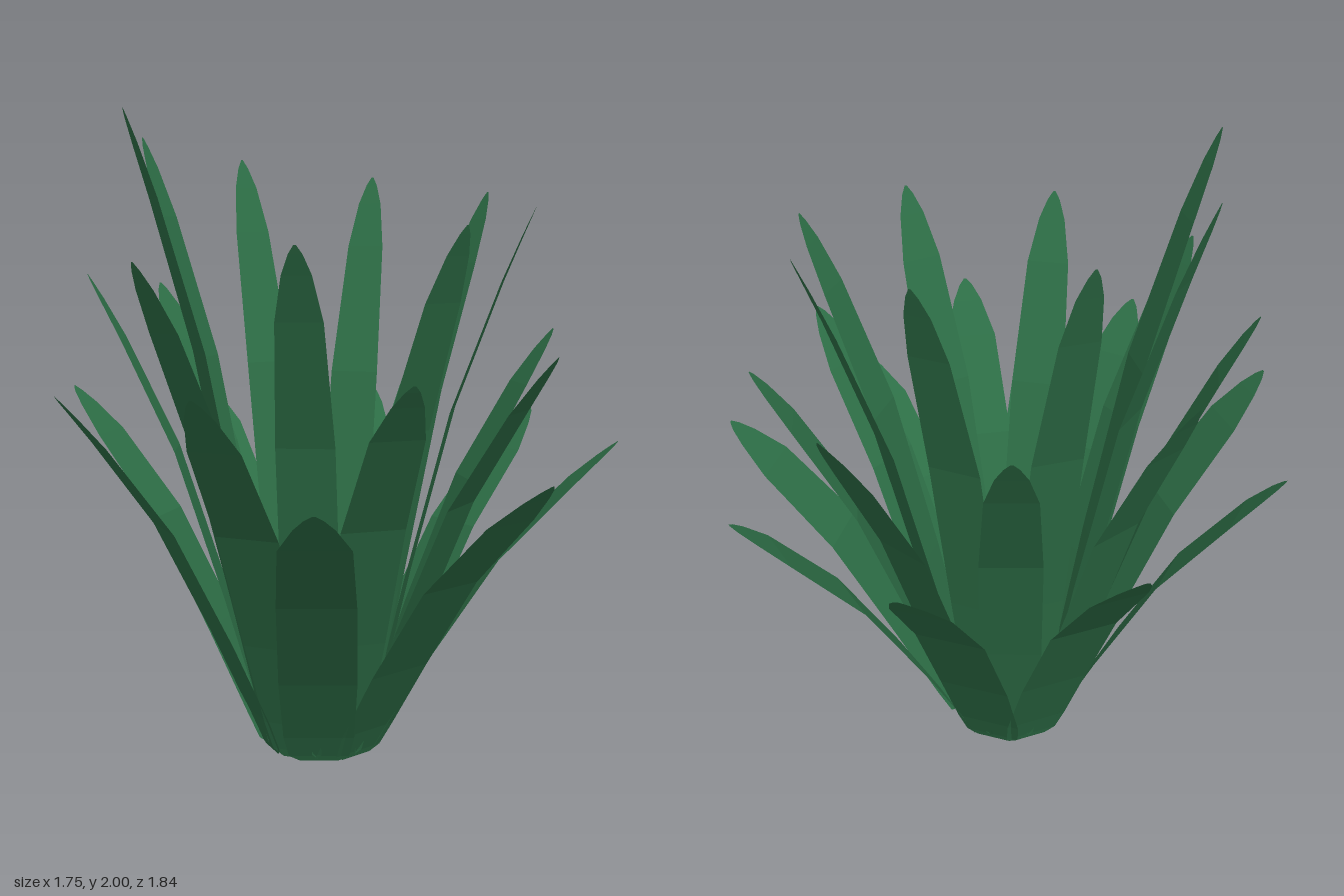
import * as THREE from 'three';

const LEAVES = 25;
const CENTRE = [-0.05, -0.042];

// Leaf stations from root to tip:
// share of height, share of outward reach, share of the widest width
const STATIONS = [
  [0, 0, 0.5],
  [0.02, 0.012, 0.8],
  [0.1, 0.068, 0.93],
  [0.33, 0.25, 1],
  [0.64, 0.52, 0.97],
  [0.87, 0.81, 0.76],
  [0.95, 0.925, 0.47],
  [0.985, 0.978, 0.22],
  [1, 1, 0.04],
];

// A thin arching blade that leans out along +x
function bladeGeometry(height, rootRadius, tipRadius, width, shoulder) {
  const positions = [];
  const index = [];
  STATIONS.forEach(([h, r, w], i) => {
    const share = i === 5 ? shoulder : w;
    const x = THREE.MathUtils.lerp(rootRadius, tipRadius, r);
    const half = (width * share) / 2;
    positions.push(x, h * height, -half, x, h * height, half);
    if (i > 0) {
      const a = 2 * (i - 1);
      index.push(a, a + 2, a + 1, a + 1, a + 2, a + 3);
    }
  });
  const geometry = new THREE.BufferGeometry();
  geometry.setAttribute('position', new THREE.Float32BufferAttribute(positions, 3));
  geometry.setIndex(index);
  const faceted = geometry.toNonIndexed();
  faceted.computeVertexNormals();
  return faceted;
}

export function createModel() {
  const plant = new THREE.Group();
  plant.name = 'rosettePlant';

  const leafGreen = new THREE.MeshStandardMaterial({ color: 0x2d6e46, side: THREE.DoubleSide });
  leafGreen.name = 'leaf green';

  // Leaves spiral from tall upright inner ones to short spreading outer ones
  const rosette = new THREE.Group();
  rosette.name = 'rosette';
  rosette.position.set(CENTRE[0], 0, CENTRE[1]);
  for (let i = 0; i < LEAVES; i++) {
    const t = i / (LEAVES - 1);
    const height = 2 - 0.0603 * i + 0.00068 * i * i;
    const tipRadius = 0.605 + 0.0107 * i + 0.00018 * i * i;
    const rootRadius = THREE.MathUtils.lerp(0.15, 0.175, t);
    const width = THREE.MathUtils.lerp(0.155, 0.235, t);
    const shoulder = THREE.MathUtils.lerp(0.72, 0.85, t);
    const leaf = new THREE.Mesh(
      bladeGeometry(height, rootRadius, tipRadius, width, shoulder),
      leafGreen
    );
    leaf.name = `leaf${i + 1}`;
    leaf.rotation.y = -THREE.MathUtils.degToRad(158 + 42.09 * i);
    rosette.add(leaf);
  }
  plant.add(rosette);
  return plant;
}
